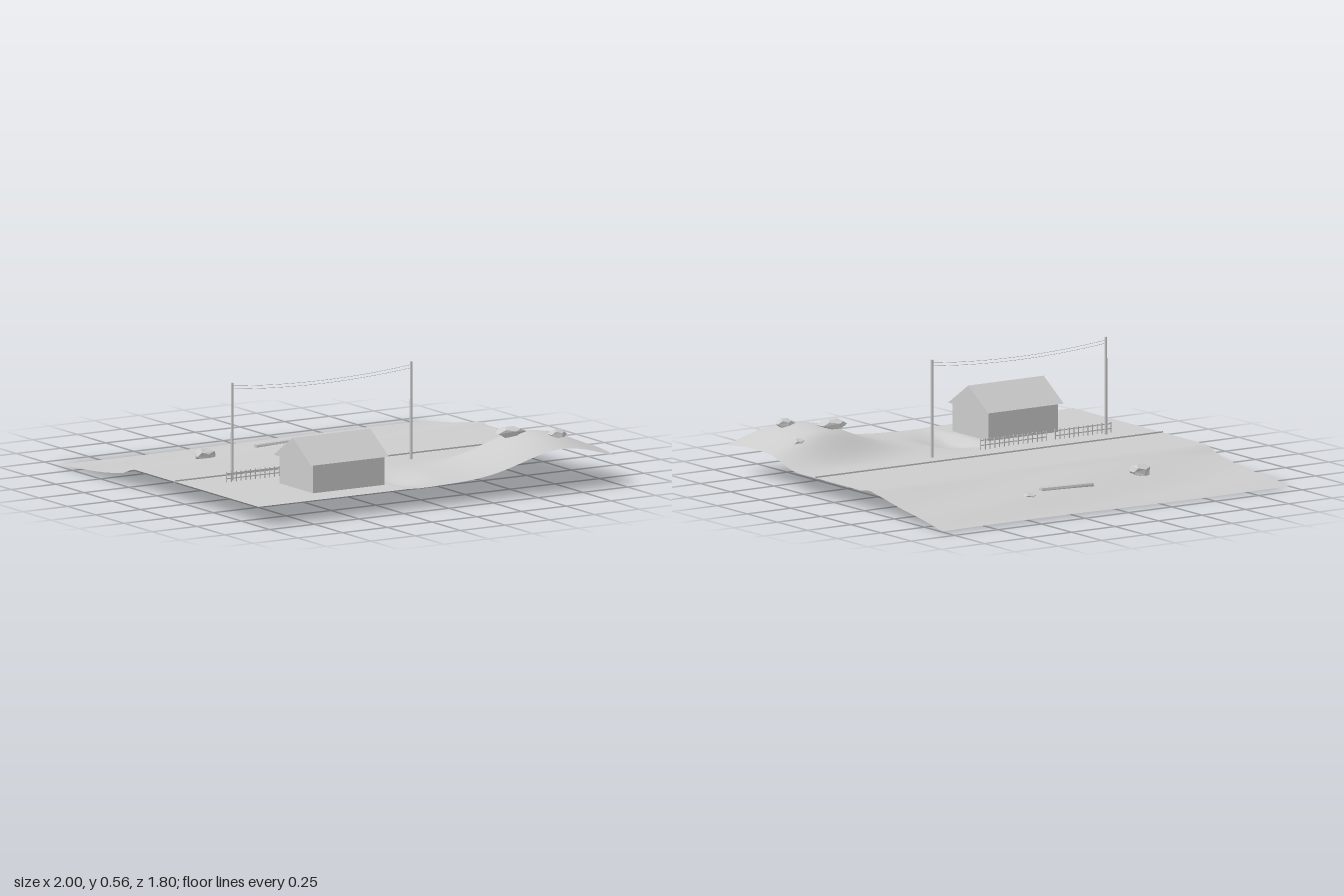
import * as THREE from 'three';

const grey = new THREE.MeshStandardMaterial({ color: 0xcccccc });
grey.name = 'plain grey';
const greyFlat = new THREE.MeshStandardMaterial({ color: 0xcccccc, flatShading: true });
greyFlat.name = 'plain grey faceted';
const greyDouble = new THREE.MeshStandardMaterial({ color: 0xcccccc, side: THREE.DoubleSide });
greyDouble.name = 'plain grey two-sided';

const { smoothstep, lerp } = THREE.MathUtils;
const bell = (d, s) => Math.exp(-d * d / (2 * s * s));

// Ground height: flat strip in the middle, hill and pit in front, slope behind
function groundHeight(x, z) {
  let y = 0.1;
  if (z > 0.28) {
    y += 0.148 * bell(x - 0.7, 0.22) * bell(z - 0.66, 0.29) * smoothstep(z, 0.28, 0.53);
    y -= 0.042 * bell(x + 0.08, 0.09) * bell(z - 0.6, 0.13) * smoothstep(x, -0.16, -0.115);
  }
  if (z < -0.2) {
    const t = (-0.2 - z) / 0.7;
    const fade = smoothstep(t, 0, 0.15) * smoothstep(1 - t, 0, 0.4);
    y = lerp(0.1, 0.01, t);
    y += fade * (0.016 * Math.sin(1.6 * x) + 0.006 * Math.sin(4 * x + 9 * z));
    y += 0.003 * t * Math.sin(3 * x);
  }
  return y;
}

function add(parent, name, geometry, material, x = 0, y = 0, z = 0) {
  const mesh = new THREE.Mesh(geometry, material);
  mesh.name = name;
  mesh.position.set(x, y, z);
  parent.add(mesh);
  return mesh;
}

const box = (w, h, d) => new THREE.BoxGeometry(w, h, d);

function makeGround() {
  const g = new THREE.PlaneGeometry(2, 1.8, 100, 90).rotateX(-Math.PI / 2);
  const p = g.attributes.position;
  for (let i = 0; i < p.count; i++) p.setY(i, groundHeight(p.getX(i), p.getZ(i)));
  g.computeVertexNormals();
  return g;
}

// Faceted boulder: an icosahedron-like lump pushed in and out by a rule
function makeRock(rx, ry, rz, seed) {
  const g = new THREE.DodecahedronGeometry(1, 0);
  const p = g.attributes.position;
  const v = new THREE.Vector3();
  for (let i = 0; i < p.count; i++) {
    v.fromBufferAttribute(p, i);
    const k = 1 + 0.13 * Math.sin(v.x * 3.1 + seed) * Math.cos(v.z * 2.7 + seed * 2) + 0.06 * Math.sin(v.y * 4 + seed);
    p.setXYZ(i, v.x * k * rx, v.y * k * ry, v.z * k * rz);
  }
  g.computeVertexNormals();
  return g;
}

// Picket fence panel running along x
function makeFence(x0, x1) {
  const fence = new THREE.Group();
  fence.name = 'fencePanel';
  const z = 0.3, length = x1 - x0, count = Math.round(length / 0.0265);
  for (let i = 0; i <= count; i++) {
    const x = x0 + length * i / count;
    add(fence, 'picket', box(0.005, 0.056, 0.003), grey, x, 0.122, z);
  }
  for (const y of [0.118, 0.142]) {
    add(fence, 'fenceRail', box(length, 0.005, 0.003), grey, (x0 + x1) / 2, y, z + 0.003);
  }
  return fence;
}

export function createModel() {
  const model = new THREE.Group();
  model.name = 'roadsideScene';

  add(model, 'ground', makeGround(), greyDouble);

  // Low strip along the road
  add(model, 'roadRail', box(2, 0.012, 0.004), grey, 0, 0.101, 0.157);

  // House with a solid gabled roof
  const house = new THREE.Group();
  house.name = 'house';
  add(house, 'walls', box(0.4, 0.147, 0.3), grey, -0.4, 0.1665, 0.6);
  const gable = new THREE.Shape([
    new THREE.Vector2(-0.167, 0), new THREE.Vector2(0.167, 0), new THREE.Vector2(0, 0.108),
  ]);
  const roofShape = new THREE.ExtrudeGeometry(gable, { depth: 0.434, bevelEnabled: false });
  roofShape.translate(0, 0, -0.217).rotateY(Math.PI / 2);
  add(house, 'roof', roofShape, grey, -0.404, 0.237, 0.6);
  model.add(house);

  // Utility poles and sagging wires
  const poleGeometry = new THREE.CylinderGeometry(0.0065, 0.0075, 0.5, 8);
  for (const x of [-0.75, 0.25]) add(model, 'pole', poleGeometry, grey, x, 0.32, 0.27);
  for (const [y, z] of [[0.555, 0.27], [0.54, 0.27]]) {
    const curve = new THREE.QuadraticBezierCurve3(
      new THREE.Vector3(-0.75, y, z), new THREE.Vector3(-0.25, y - 0.05, z), new THREE.Vector3(0.25, y, z));
    add(model, 'wire', new THREE.TubeGeometry(curve, 16, 0.001, 4), grey);
  }

  // Fence panels
  model.add(makeFence(-0.8, -0.48), makeFence(-0.43, -0.05));

  // Boulders: x, y, z, radii, seed
  const rocks = [
    [0.6, 0.247, 0.59, 0.073, 0.03, 0.06, 1],
    [0.77, 0.246, 0.745, 0.047, 0.026, 0.043, 2.3],
    [0.845, 0.194, 0.52, 0.032, 0.022, 0.03, 4.1],
    [-0.45, 0.072, -0.45, 0.055, 0.034, 0.046, 5.2],
    [0.3, 0.052, -0.61, 0.038, 0.022, 0.036, 0.4],
  ];
  for (const [x, y, z, rx, ry, rz, seed] of rocks) {
    add(model, 'boulder', makeRock(rx, ry, rz, seed), greyFlat, x, y, z);
  }

  // Half-buried fallen log
  const log = add(model, 'fallenLog', new THREE.CylinderGeometry(0.014, 0.012, 0.3, 8), greyFlat, 0.05, 0.064, -0.557);
  log.rotation.z = -Math.PI / 2 + 0.02;

  return model;
}
